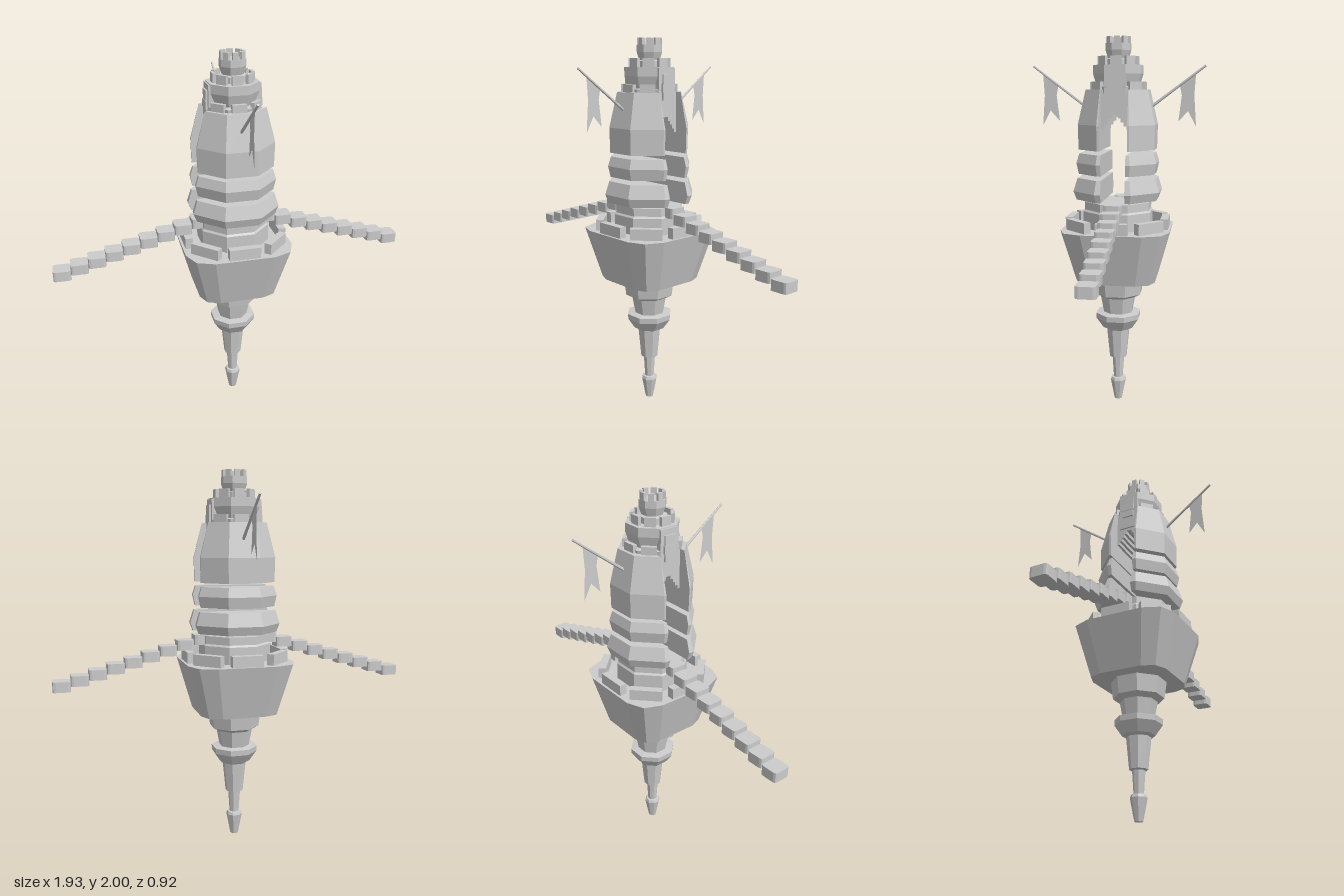
import * as THREE from 'three';

const grey = new THREE.MeshStandardMaterial({ color: 0xcccccc, flatShading: true });
const thin = new THREE.MeshStandardMaterial({ color: 0xcccccc, flatShading: true, side: THREE.DoubleSide });
const T = Math.tan(Math.PI / 8);

// Cross-sections as [x, z] points, counter-clockwise seen from above
const octagon = (r) => [[-T * r, r], [T * r, r], [r, T * r], [r, -T * r], [T * r, -r], [-T * r, -r], [-r, -T * r], [-r, T * r]];

const roundedSquare = (flat, corner) => (r) => {
  const points = [];
  for (let i = 0; i < 4; i++) {
    const c = Math.round(Math.cos(i * Math.PI / 2)), s = Math.round(Math.sin(i * Math.PI / 2));
    for (const [x, z] of [[-flat, 1], [flat, 1], [corner, corner]]) {
      points.push([r * (x * c + z * s), r * (z * c - x * s)]);
    }
  }
  return points;
};

// Octagon cut off by a plane at z = cut, keeping the front part
const halfOctagon = (cut) => (r) => {
  const z = Math.max(cut, T * r);
  const x = r - (z - T * r);
  return [[-x, cut], [-x, z], [-T * r, r], [T * r, r], [x, z], [x, cut]];
};

// Closed solid through levels of [radius, y], from the bottom up
function loft(section, levels) {
  const rings = levels.map(([r, y]) => section(r).map(([x, z]) => [x, y, z]));
  const n = rings[0].length, pos = [];
  const tri = (a, b, c) => pos.push(...a, ...b, ...c);
  for (let k = 0; k < rings.length - 1; k++) {
    const lo = rings[k], hi = rings[k + 1];
    for (let i = 0; i < n; i++) {
      const j = (i + 1) % n;
      tri(lo[i], lo[j], hi[j]);
      tri(lo[i], hi[j], hi[i]);
    }
  }
  const bottom = rings[0], top = rings[rings.length - 1];
  for (let i = 1; i < n - 1; i++) {
    tri(top[0], top[i], top[i + 1]);
    tri(bottom[0], bottom[i + 1], bottom[i]);
  }
  const geometry = new THREE.BufferGeometry();
  geometry.setAttribute('position', new THREE.Float32BufferAttribute(pos, 3));
  geometry.computeVertexNormals();
  return geometry;
}

function add(parent, name, geometry, x = 0, y = 0, z = 0, material = grey) {
  const mesh = new THREE.Mesh(geometry, material);
  mesh.name = name;
  mesh.position.set(x, y, z);
  parent.add(mesh);
  return mesh;
}

// Ring of eight blocks on the sides of an octagon
function battlement(parent, name, radius, y, width, height, depth, diagonalRadius = radius) {
  const group = new THREE.Group();
  group.name = name;
  const box = new THREE.BoxGeometry(width, height, depth);
  for (let i = 0; i < 8; i++) {
    const a = i * Math.PI / 4, r = i % 2 ? diagonalRadius : radius;
    add(group, 'merlon', box, Math.sin(a) * r, y + height / 2, Math.cos(a) * r).rotation.y = a;
  }
  parent.add(group);
}

export function createModel() {
  const model = new THREE.Group();
  model.name = 'floatingTower';

  // Tapering spire that hangs under the bowl
  add(model, 'lowerSpire', loft(octagon, [
    [0.02, 0], [0.041, 0.115], [0.036, 0.13], [0.024, 0.132], [0.031, 0.25], [0.045, 0.255], [0.06, 0.42],
    [0.08, 0.43], [0.115, 0.485], [0.117, 0.515], [0.076, 0.52], [0.092, 0.61], [0.125, 0.63], [0.137, 0.725],
  ]));

  // Wide bowl with its battlement and the drum in the middle
  add(model, 'bowl', loft(roundedSquare(0.55, 0.87), [[0.212, 0.72], [0.288, 1.0]]));
  battlement(model, 'bowlBattlement', 0.255, 1.0, 0.165, 0.058, 0.04, 0.262);
  add(model, 'drum', loft(octagon, [[0.18, 1.0], [0.18, 1.09], [0.172, 1.1], [0.172, 1.142]]));

  // Two stairways of floating stones
  const stone = loft(roundedSquare(0.68, 0.92), [[0.046, -0.027], [0.046, 0.027]]);
  for (const side of [-1, 1]) {
    const stairway = new THREE.Group();
    stairway.name = side > 0 ? 'leftStairway' : 'rightStairway';
    for (let i = 0; i < 9; i++) add(stairway, 'stone', stone, side * (0.919 - i * 0.092), 0.901 + i * 0.0272, 0);
    model.add(stairway);
  }

  // Front and back halves of the split tower, with a banner each
  const bands = [
    ['lowerBand', 0.062, [[0.212, 1.155], [0.228, 1.2], [0.207, 1.27]]],
    ['middleBand', 0.064, [[0.2, 1.292], [0.212, 1.35], [0.197, 1.4]]],
    ['upperBand', 0.073, [[0.2, 1.42], [0.203, 1.55], [0.163, 1.73]]],
  ];
  const cloth = new THREE.Shape([
    [0.405, 1.815], [0.398, 1.7], [0.41, 1.54], [0.367, 1.62], [0.317, 1.565], [0.333, 1.7], [0.322, 1.755],
  ].map(([z, y]) => new THREE.Vector2(z, y)));
  for (const [name, angle] of [['frontHalf', 0], ['backHalf', Math.PI]]) {
    const half = new THREE.Group();
    half.name = name;
    for (const [band, cut, levels] of bands) add(half, band, loft(halfOctagon(cut), levels));
    const start = new THREE.Vector3(0, 1.635, 0.165), end = new THREE.Vector3(0, 1.852, 0.455);
    const pole = add(half, 'bannerPole', new THREE.CylinderGeometry(0.006, 0.008, start.distanceTo(end), 6));
    pole.position.copy(start).lerp(end, 0.5);
    pole.quaternion.setFromUnitVectors(new THREE.Vector3(0, 1, 0), end.clone().sub(start).normalize());
    add(half, 'banner', new THREE.ShapeGeometry(cloth), 0, 0, 0, thin).rotation.y = -Math.PI / 2;
    half.rotation.y = angle;
    model.add(half);
  }

  // Stepped arch that bridges the halves
  const arch = new THREE.Group();
  arch.name = 'steppedArch';
  for (let i = 0; i < 5; i++) {
    const bottom = 1.525 + i * 0.02;
    const block = new THREE.BoxGeometry(0.25, 1.73 - bottom, 0.015);
    for (const side of [-1, 1]) add(arch, 'archStep', block, 0, (1.73 + bottom) / 2, side * (0.0675 - i * 0.015));
  }
  model.add(arch);

  // Upper turret in three shrinking tiers
  add(model, 'turretBase', loft(octagon, [[0.125, 1.68], [0.135, 1.745], [0.108, 1.75], [0.126, 1.81], [0.126, 1.855]]));
  battlement(model, 'lowerBattlement', 0.135, 1.73, 0.075, 0.04, 0.022);
  add(model, 'turretMiddle', loft(octagon, [[0.07, 1.85], [0.07, 1.885], [0.05, 1.89]]));
  battlement(model, 'middleBattlement', 0.098, 1.85, 0.055, 0.05, 0.018);
  add(model, 'turretTop', loft(octagon, [[0.05, 1.885], [0.064, 1.93], [0.064, 1.965]]));
  battlement(model, 'topBattlement', 0.055, 1.96, 0.028, 0.04, 0.016);

  // Window panels over both ends of the passage
  for (const side of [-1, 1]) {
    add(model, 'windowPanel', new THREE.BoxGeometry(0.03, 0.23, 0.11), side * 0.119, 1.735, 0);
    add(model, 'window', new THREE.BoxGeometry(0.012, 0.13, 0.066), side * 0.137, 1.755, 0);
  }
  return model;
}
